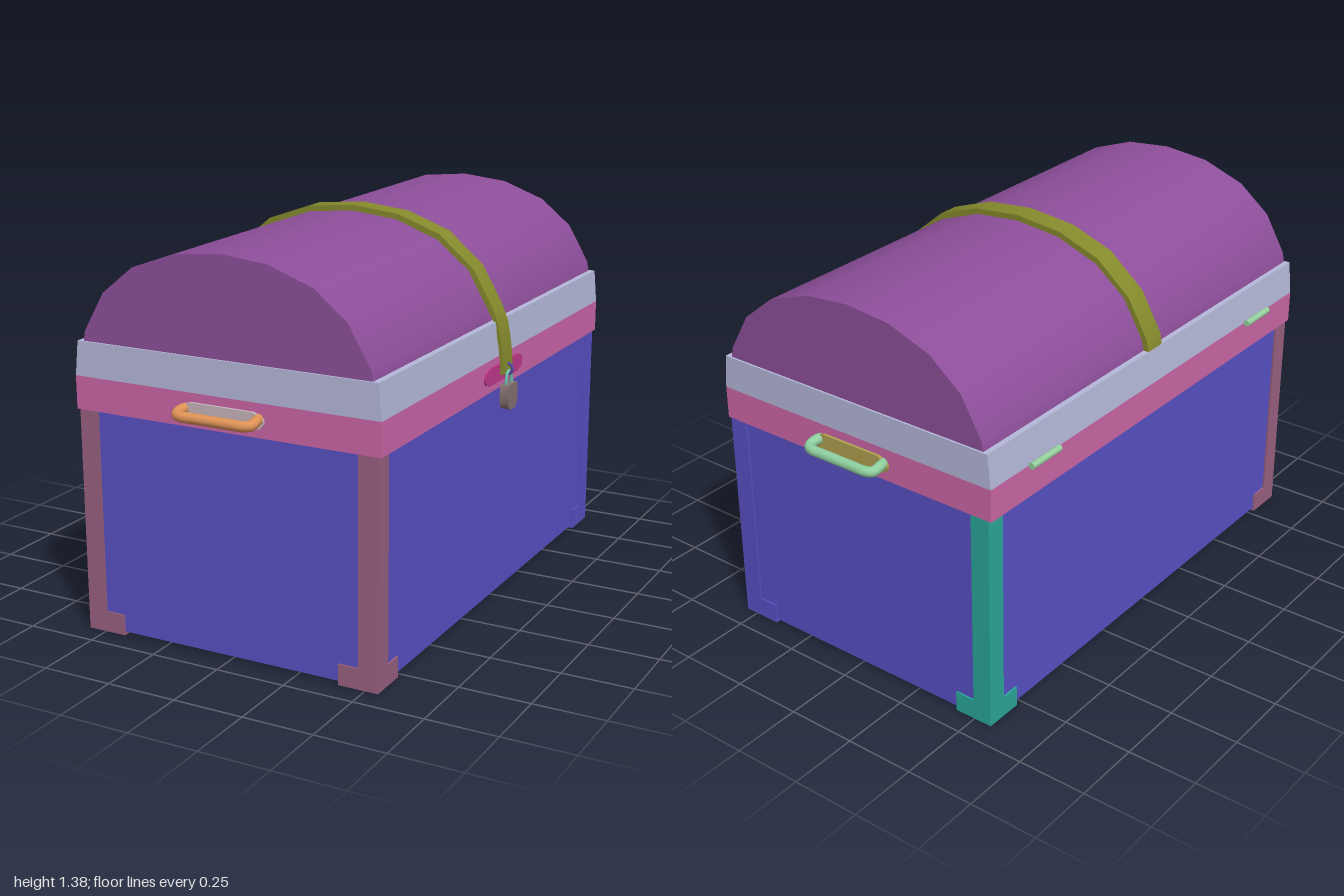
import * as THREE from 'three';
import { toCreasedNormals } from 'three/addons/utils/BufferGeometryUtils.js';

const CX = -0.01; // the chest body sits slightly off centre

export function createModel() {
  const chest = new THREE.Group();
  chest.name = 'chest';

  const add = (name, geometry, color, parent = chest) => {
    const mesh = new THREE.Mesh(geometry, new THREE.MeshStandardMaterial({ color }));
    mesh.name = name;
    parent.add(mesh);
    return mesh;
  };
  const box = (x0, x1, y0, y1, z0, z1) =>
    new THREE.BoxGeometry(Math.abs(x1 - x0), y1 - y0, Math.abs(z1 - z0))
      .translate((x0 + x1) / 2, (y0 + y1) / 2, (z0 + z1) / 2);
  // outline in the xy plane, extruded from -half to +half in z
  const prism = (points, half, crease = 0.75) => {
    const shape = new THREE.Shape(points.map(([x, y]) => new THREE.Vector2(x, y)));
    const g = new THREE.ExtrudeGeometry(shape, { depth: 2 * half, bevelEnabled: false });
    return toCreasedNormals(g.translate(0, 0, -half), crease);
  };

  // Body and rim
  add('body', box(-0.56, 0.54, 0.012, 0.79, -0.91, 0.91), 0x5850c4);
  add('rim', box(-0.578, 0.558, 0.785, 0.9, -0.917, 0.917), 0xcc66a8);
  add('lidBand', prism([[-0.578, 0.9], [0.558, 0.9], [0.547, 1.02], [-0.565, 1.02]], 0.917, 0.1), 0xb4b8d8);

  // Corner brackets: a post with a wider foot
  const corners = [
    ['frontLeftCorner', 1, 1, 0x99607f], ['frontRightCorner', -1, 1, 0x99607f],
    ['backLeftCorner', 1, -1, 0x5850c4], ['backRightCorner', -1, -1, 0x2aa89c],
  ];
  for (const [name, sx, sz, color] of corners) {
    const corner = new THREE.Group();
    corner.name = name;
    chest.add(corner);
    const x = CX + sx * 0.557, z = sz * 0.916;
    add('post', box(x, x - sx * 0.071, 0.073, 0.787, z, z - sz * 0.071), color, corner);
    add('foot', box(x, x - sx * 0.144, 0, 0.073, z, z - sz * 0.142), color, corner);
  }

  // Domed lid
  const mirror = (half) => [
    ...half.map(([x, y]) => [CX + x, y]),
    ...half.slice(0, -1).reverse().map(([x, y]) => [CX - x, y]),
  ];
  const domeHalf = [[0.535, 1.02], [0.528, 1.055], [0.45, 1.19], [0.332, 1.285], [0.172, 1.343], [0, 1.36]];
  const strapHalf = [[0.555, 1.02], [0.547, 1.06], [0.47, 1.195], [0.339, 1.305], [0.18, 1.362], [0, 1.38]];
  add('lid', prism(mirror(domeHalf), 0.91), 0x8e4f9b);

  // Strap over the lid, with a tongue hanging down to the lock
  const tongueOuter = [[0.578, 0.835], [0.577, 0.88], [0.57, 0.94], [0.557, 1.01]];
  const tongueInner = [[0.543, 1.01], [0.557, 0.94], [0.565, 0.88], [0.566, 0.835]];
  const outer = mirror(strapHalf), inner = mirror(domeHalf);
  add('strap', prism([
    ...tongueOuter, ...outer.slice(1), ...inner.reverse().slice(0, -1), ...tongueInner,
  ], 0.041), 0x858a2c);

  // Thin mounting plate with stepped, rounded ends, facing +z from z = 0
  const plateGeometry = (halfLength, halfHeight) => {
    const shape = new THREE.Shape();
    const r = halfHeight * 0.8, e = halfLength - r, m = e - 0.015;
    shape.moveTo(-m, -halfHeight);
    shape.lineTo(m, -halfHeight);
    shape.lineTo(e, -r);
    shape.absarc(e, 0, r, -Math.PI / 2, Math.PI / 2, false);
    shape.lineTo(m, halfHeight);
    shape.lineTo(-m, halfHeight);
    shape.lineTo(-e, r);
    shape.absarc(-e, 0, r, Math.PI / 2, Math.PI * 1.5, false);
    return new THREE.ExtrudeGeometry(shape, { depth: 0.012, bevelEnabled: false, curveSegments: 8 });
  };

  // End handles
  const grip = new THREE.CatmullRomCurve3([
    [-0.135, 0.008, 0], [-0.14, 0.006, 0.03], [-0.137, 0, 0.055], [-0.115, -0.002, 0.066], [-0.06, -0.002, 0.067],
    [0.06, -0.002, 0.067], [0.115, -0.002, 0.066], [0.137, 0, 0.055], [0.14, 0.006, 0.03], [0.135, 0.008, 0],
  ].map((p) => new THREE.Vector3(...p)));
  const handles = [['frontHandle', 1, 0xe09458, 0xc8b4bc], ['backHandle', -1, 0x90d0a0, 0xb0a050]];
  for (const [name, side, gripColor, plateColor] of handles) {
    const handle = new THREE.Group();
    handle.name = name;
    add('plate', plateGeometry(0.157, 0.03), plateColor, handle);
    add('grip', new THREE.TubeGeometry(grip, 48, 0.018, 10), gripColor, handle);
    handle.position.set(CX, 0.84, side * 0.915);
    if (side < 0) handle.rotation.y = Math.PI;
    chest.add(handle);
  }

  // Hinge barrels
  for (const z of [-0.651, 0.651]) {
    add('hinge', new THREE.CylinderGeometry(0.012, 0.012, 0.148, 12).rotateX(Math.PI / 2), 0x98d0a0)
      .position.set(-0.588, 0.9, z);
  }

  // Lock: plate, staple, shackle and padlock body
  const lock = new THREE.Group();
  lock.name = 'lock';
  chest.add(lock);
  add('lockPlate', plateGeometry(0.16, 0.031).rotateY(Math.PI / 2), 0xc03a8c, lock).position.set(0.553, 0.843, 0);
  add('staple', new THREE.TorusGeometry(0.018, 0.005, 8, 20), 0x5a48a8, lock).position.set(0.577, 0.85, 0);

  const shackle = new THREE.CatmullRomCurve3([
    [0, 0.79, -0.022], [0, 0.815, -0.022], [0, 0.835, -0.015], [0, 0.842, 0],
    [0, 0.835, 0.015], [0, 0.815, 0.022], [0, 0.79, 0.022],
  ].map((p) => new THREE.Vector3(...p)));
  add('shackle', new THREE.TubeGeometry(shackle, 24, 0.006, 8), 0x70c0b0, lock).position.x = 0.582;

  const padlock = prism([
    [-0.041, 0.735], [-0.034, 0.717], [-0.016, 0.708], [0.016, 0.708], [0.034, 0.717],
    [0.041, 0.735], [0.041, 0.79], [0.034, 0.798], [-0.034, 0.798], [-0.041, 0.79],
  ], 0.016).rotateY(Math.PI / 2);
  add('padlock', padlock, 0x857272, lock).position.x = 0.583;

  return chest;
}
